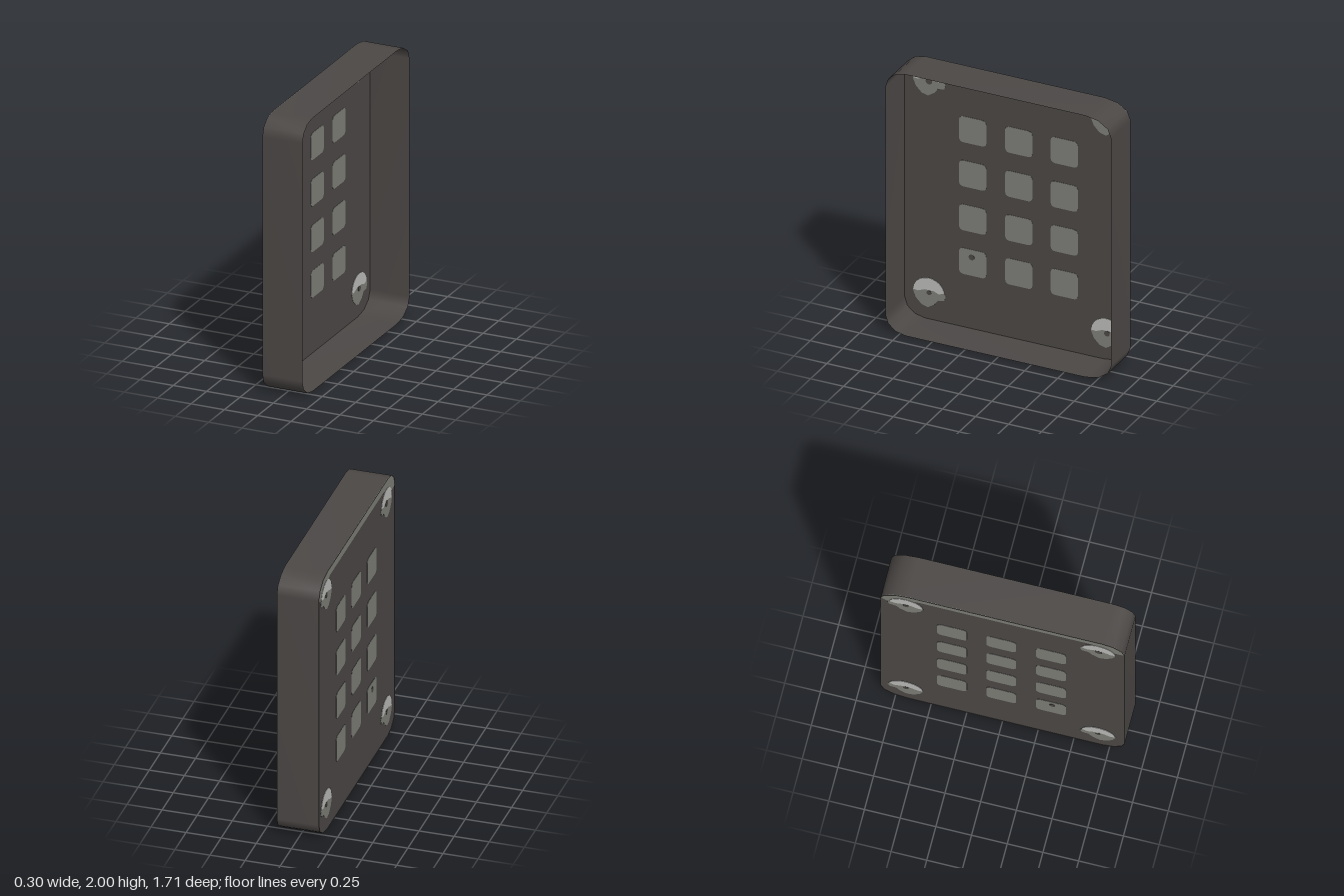
import * as THREE from 'three';

const HALF_Z = 0.855, HALF_X = 0.15, PANEL_X = -0.146;
const mat = (name, color, side = THREE.FrontSide) => {
  const m = new THREE.MeshStandardMaterial({ color, side });
  m.name = name;
  return m;
};
const V = (u, y) => new THREE.Vector2(u, y);

// Rounded outline in (u, y), counterclockwise, where u = -z
function outlinePoints() {
  const corners = [ // centre u, centre y, radius u, radius y, start angle
    [0.66, 0.13, 0.195, 0.13, -90], [0.66, 1.87, 0.195, 0.13, 0],
    [-0.7, 1.87, 0.155, 0.13, 90], [-0.7, 0.13, 0.155, 0.13, 180],
  ];
  const pts = [];
  for (const [cu, cy, ru, ry, start] of corners) {
    for (let i = 0; i <= 3; i++) {
      const a = THREE.MathUtils.degToRad(start + i * 30);
      pts.push(V(cu + ru * Math.cos(a), cy + ry * Math.sin(a)));
    }
  }
  return pts;
}

function roundedRect(u, y, w, h, r) {
  const pts = [];
  [[1, -1], [1, 1], [-1, 1], [-1, -1]].forEach(([su, sy], c) => {
    for (let i = 0; i <= 3; i++) {
      const a = (c - 1) * Math.PI / 2 + i * Math.PI / 6;
      pts.push(V(u + su * (w / 2 - r) + r * Math.cos(a), y + sy * (h / 2 - r) + r * Math.sin(a)));
    }
  });
  return pts;
}

const circle = (u, y, r, n = 12) => Array.from({ length: n }, (_, i) =>
  V(u + r * Math.cos(i / n * Math.PI * 2), y + r * Math.sin(i / n * Math.PI * 2)));

export function createModel() {
  const group = new THREE.Group();
  const charcoal = mat('charcoal', 0x4c4846);
  const charcoalShell = mat('charcoalShell', 0x4c4846, THREE.DoubleSide);
  const grey = mat('grey', 0x7f7f79);
  const pale = mat('paleGrey', 0xbcbcba);

  const add = (name, geometry, material) => {
    const mesh = new THREE.Mesh(geometry, material);
    mesh.name = name;
    group.add(mesh);
  };
  // Thin plate centred on the panel, showing on both of its sides
  const plate = (name, pts, half, material) => {
    const g = new THREE.ExtrudeGeometry(new THREE.Shape(pts), { depth: half * 2, bevelEnabled: false });
    g.translate(0, 0, -half).rotateY(Math.PI / 2).translate(PANEL_X, 0, 0);
    add(name, g, material);
  };

  // Open rim wall, smooth around the corners
  const outline = outlinePoints(), n = outline.length;
  const position = [], index = [];
  outline.forEach((p, i) => {
    position.push(-HALF_X, p.y, -p.x, HALF_X, p.y, -p.x);
    const a = i * 2, b = ((i + 1) % n) * 2;
    index.push(a, b, b + 1, a, b + 1, a + 1);
  });
  const wall = new THREE.BufferGeometry();
  wall.setAttribute('position', new THREE.Float32BufferAttribute(position, 3));
  wall.setIndex(index);
  wall.computeVertexNormals();
  add('rimWall', wall, charcoalShell);

  // Closed face of the tray
  const panel = new THREE.ShapeGeometry(new THREE.Shape(outline));
  panel.rotateY(Math.PI / 2).translate(PANEL_X, 0, 0);
  add('panel', panel, charcoalShell);

  // Grey band along the top edge, wrapping into the upper corners
  const top = outline.slice(4, 12).map((p) => p.clone());
  plate('topBand', [...top, V(-0.76, 1.86), V(-0.61, 1.94), V(0.6, 1.94), V(0.8, 1.83)], 0.001, grey);

  // Grid of window squares
  for (const u of [-0.339, 0.01, 0.355]) {
    for (const y of [0.504, 0.838, 1.174, 1.512]) {
      plate('keySquare', roundedRect(u, y, 0.207, 0.199, 0.03), 0.002, grey);
    }
  }
  plate('keySpeck', circle(-0.347, 0.546, 0.022), 0.004, charcoal);

  // Corner screws: grey body, pale upper cap, dark centre
  const body = [[-0.122, 0], [-0.1, -0.055], [-0.055, -0.1], [-0.008, -0.112], [0.042, -0.08],
    [0.068, -0.045], [0.115, -0.038], [0.128, 0], [0.105, 0.03], [-0.105, 0.03]];
  const cap = [[-0.121, 0.005], [-0.085, 0], [-0.035, 0.02], [0.035, 0.02], [0.075, 0.005], [0.116, 0.02]];
  for (let i = 0; i <= 10; i++) {
    const a = (0.08 + 0.9 * i / 10) * Math.PI;
    cap.push([0.118 * Math.cos(a), 0.005 + 0.108 * Math.sin(a)]);
  }
  for (const [u, y, r] of [[-0.67, 1.82, 0.025], [0.678, 1.825, 0.021], [-0.67, 0.2, 0.018], [0.678, 0.2, 0.021]]) {
    const at = (list) => list.map(([du, dy]) => V(u + du, y + dy));
    plate('screwBody', at(body), 0.002, grey);
    plate('screwCap', at(cap), 0.003, pale);
    plate('screwCentre', circle(u, y, r), 0.004, charcoal);
  }
  return group;
}
